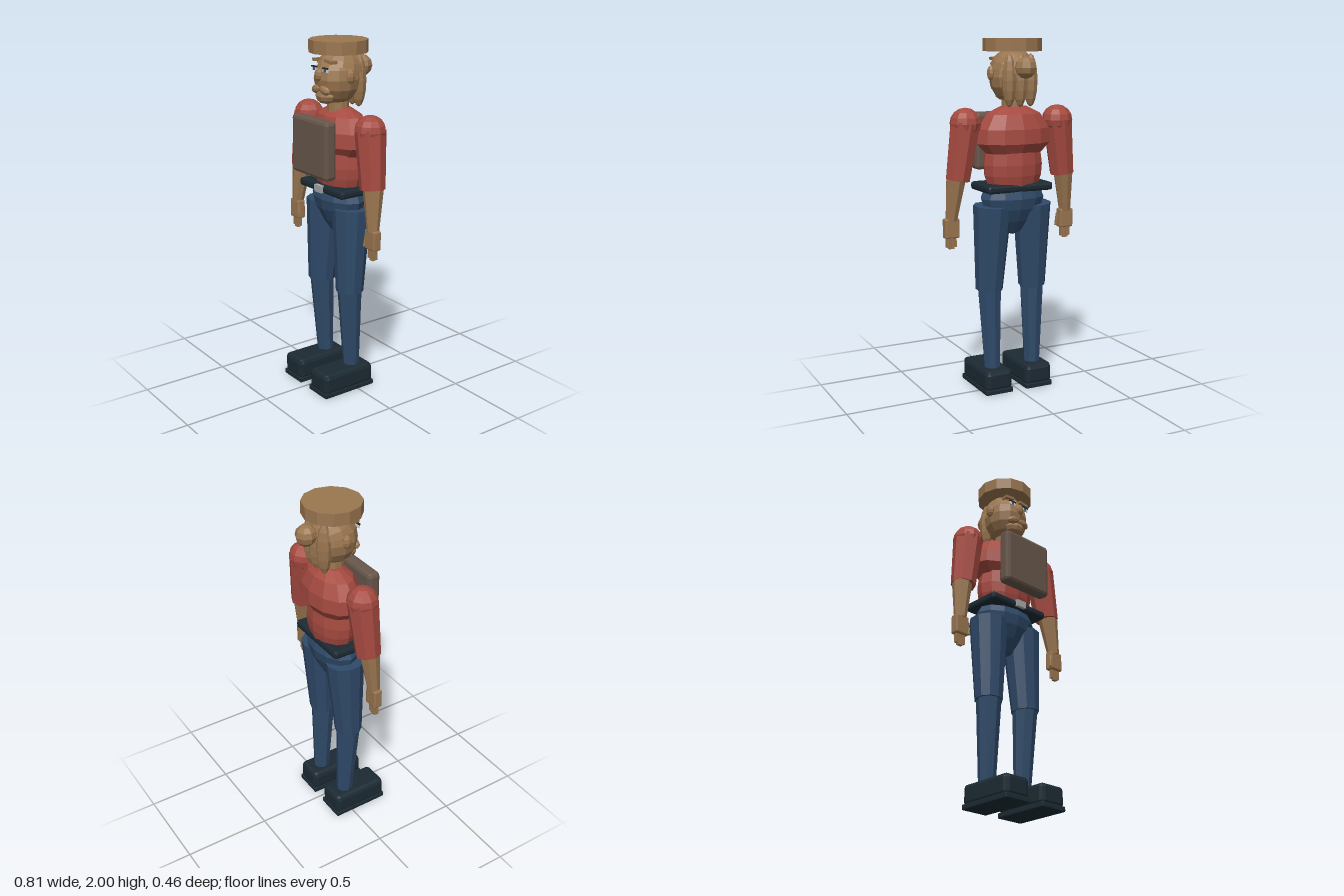
import * as THREE from 'three';
import { RoundedBoxGeometry } from 'three/addons/geometries/RoundedBoxGeometry.js';

const mat = (name, color) => {
  const m = new THREE.MeshStandardMaterial({ color, flatShading: true });
  m.name = name;
  return m;
};

export function createModel() {
  const tan = mat('tan', 0x9a7650);
  const red = mat('brick red', 0xa54a40);
  const denim = mat('denim blue', 0x2f4a69);
  const black = mat('blue black', 0x1c2a33);
  const brown = mat('leather brown', 0x67564a);
  const steel = mat('steel', 0xa3a8a8);
  const white = mat('eye white', 0xd8dcdc);
  const iris = mat('iris blue', 0x2f5f8f);
  const dark = mat('dark brow', 0x2c221c);

  const model = new THREE.Group();
  model.name = 'figure';

  const add = (name, geometry, material, x = 0, y = 0, z = 0) => {
    const mesh = new THREE.Mesh(geometry, material);
    mesh.name = name;
    mesh.position.set(x, y, z);
    model.add(mesh);
    return mesh;
  };
  const ball = (name, material, [x, y, z], [rx, ry, rz], ws = 12, hs = 8) =>
    add(name, new THREE.SphereGeometry(1, ws, hs).scale(rx, ry, rz), material, x, y, z);
  // Box given by its lower and upper corners, with chamfered edges when r > 0
  const box = (name, material, a, b, r = 0) => {
    const s = a.map((v, i) => b[i] - v);
    const g = r ? new RoundedBoxGeometry(...s, 1, r) : new THREE.BoxGeometry(...s);
    return add(name, g, material, ...a.map((v, i) => (v + b[i]) / 2));
  };
  // Tapered limb from point a (radius ra) down to point b (radius rb)
  const limb = (name, material, a, b, ra, rb, sides = 8) => {
    const top = new THREE.Vector3(...a), end = new THREE.Vector3(...b);
    const axis = top.clone().sub(end);
    const mesh = add(name, new THREE.CylinderGeometry(ra, rb, axis.length(), sides), material);
    mesh.position.copy(top).add(end).multiplyScalar(0.5);
    mesh.quaternion.setFromUnitVectors(new THREE.Vector3(0, 1, 0), axis.normalize());
    return mesh;
  };
  // Elliptical turned body part, profile from bottom to top
  const turned = (name, material, profile, depth, z) => {
    const pts = profile.map(([r, y]) => new THREE.Vector2(r, y));
    return add(name, new THREE.LatheGeometry(pts, 12).scale(1, 1, depth), material, 0, 0, z);
  };

  // Torso and hips
  turned('chest', red, [[0, 1.36], [0.17, 1.375], [0.224, 1.43], [0.217, 1.51], [0.165, 1.59], [0.08, 1.63], [0, 1.632]], 0.62, -0.022);
  turned('abdomen', red, [[0, 1.17], [0.15, 1.18], [0.172, 1.25], [0.177, 1.31], [0.165, 1.4], [0, 1.44]], 0.69, -0.015);
  turned('pelvis', denim, [[0, 0.905], [0.06, 0.925], [0.125, 0.99], [0.175, 1.06], [0.194, 1.12], [0.175, 1.165], [0, 1.17]], 0.62, -0.01);
  box('belt', black, [-0.202, 1.16, -0.122], [0.202, 1.206, 0.118], 0.015);
  box('buckle', steel, [-0.032, 1.165, 0.11], [0.032, 1.205, 0.133]);
  box('chestPack', brown, [-0.163, 1.265, 0.117], [0.163, 1.59, 0.193], 0.02);

  // Head
  limb('neck', tan, [0, 1.7, -0.008], [0, 1.6, -0.008], 0.058, 0.062, 10);
  ball('head', tan, [0, 1.79, -0.003], [0.127, 0.142, 0.13]);
  add('hat', new THREE.CylinderGeometry(0.163, 0.163, 0.07, 12), tan, 0, 1.965, -0.01);
  const cap = add('hairCap', new THREE.SphereGeometry(1, 12, 5, 0, Math.PI * 2, 0, Math.PI * 0.42).scale(0.132, 0.14, 0.137), tan, 0, 1.81, -0.012);
  cap.rotation.x = -0.25;
  ball('hairBun', tan, [0, 1.845, -0.168], [0.06, 0.06, 0.06], 8, 6);
  for (const x of [-0.065, 0, 0.065])
    ball('hairLock', tan, [x, 1.775, x ? -0.1 : -0.105], [0.04, 0.145, 0.043], 8, 8);
  ball('nose', tan, [0, 1.815, 0.118], [0.025, 0.037, 0.025], 8, 6);
  ball('beard', tan, [0, 1.7, 0.075], [0.068, 0.045, 0.052], 10, 6);

  for (const s of [-1, 1]) {
    // Face details
    ball('ear', tan, [s * 0.127, 1.812, 0], [0.02, 0.04, 0.027], 8, 6);
    const tache = ball('moustache', tan, [s * 0.035, 1.737, 0.105], [0.043, 0.025, 0.025], 8, 6);
    tache.rotation.z = -s * 0.25;
    const brow = box('brow', tan, [s * 0.055 - 0.032, 1.883, 0.06], [s * 0.055 + 0.032, 1.9, 0.102]);
    brow.rotation.z = -s * 0.12;
    box('eye', white, [s * 0.05 - 0.021, 1.835, 0.108], [s * 0.05 + 0.021, 1.853, 0.115]);
    box('iris', iris, [s * 0.05 - 0.008, 1.836, 0.114], [s * 0.05 + 0.008, 1.852, 0.118]);
    box('lash', dark, [s * 0.05 - 0.024, 1.853, 0.109], [s * 0.05 + 0.024, 1.86, 0.118]);

    // Arm
    ball('shoulder', red, [s * 0.286, 1.545, -0.01], [0.088, 0.085, 0.086], 10, 8);
    limb('upperArm', red, [s * 0.286, 1.55, -0.01], [s * 0.328, 1.235, 0.004], 0.086, 0.07);
    limb('forearm', tan, [s * 0.337, 1.25, 0.006], [s * 0.361, 1.01, 0.024], 0.058, 0.034);
    box('hand', tan, [s * 0.362 - 0.043, 0.91, 0], [s * 0.362 + 0.043, 1.02, 0.05], 0.008);
    for (let i = 0; i < 4; i++) {
      const x = s * (0.34 + i * 0.0155);
      const low = i === 0 || i === 3 ? 0.858 : 0.848;
      box('finger', tan, [x - 0.007, low, 0.016], [x + 0.007, 0.915, 0.036]);
    }
    limb('thumb', tan, [s * 0.322, 0.99, 0.035], [s * 0.315, 0.92, 0.045], 0.012, 0.009, 6);

    // Leg
    limb('thigh', denim, [s * 0.124, 1.08, -0.01], [s * 0.137, 0.595, 0.011], 0.11, 0.078, 10);
    limb('shin', denim, [s * 0.136, 0.61, 0.011], [s * 0.128, 0.12, -0.008], 0.07, 0.046);

    // Boot
    box('bootUpper', black, [s * 0.127 - 0.083, 0.015, -0.107], [s * 0.127 + 0.083, 0.137, 0.229], 0.025);
    box('bootSole', black, [s * 0.127 - 0.085, 0, -0.11], [s * 0.127 + 0.085, 0.03, 0.232], 0.006);
  }
  return model;
}
